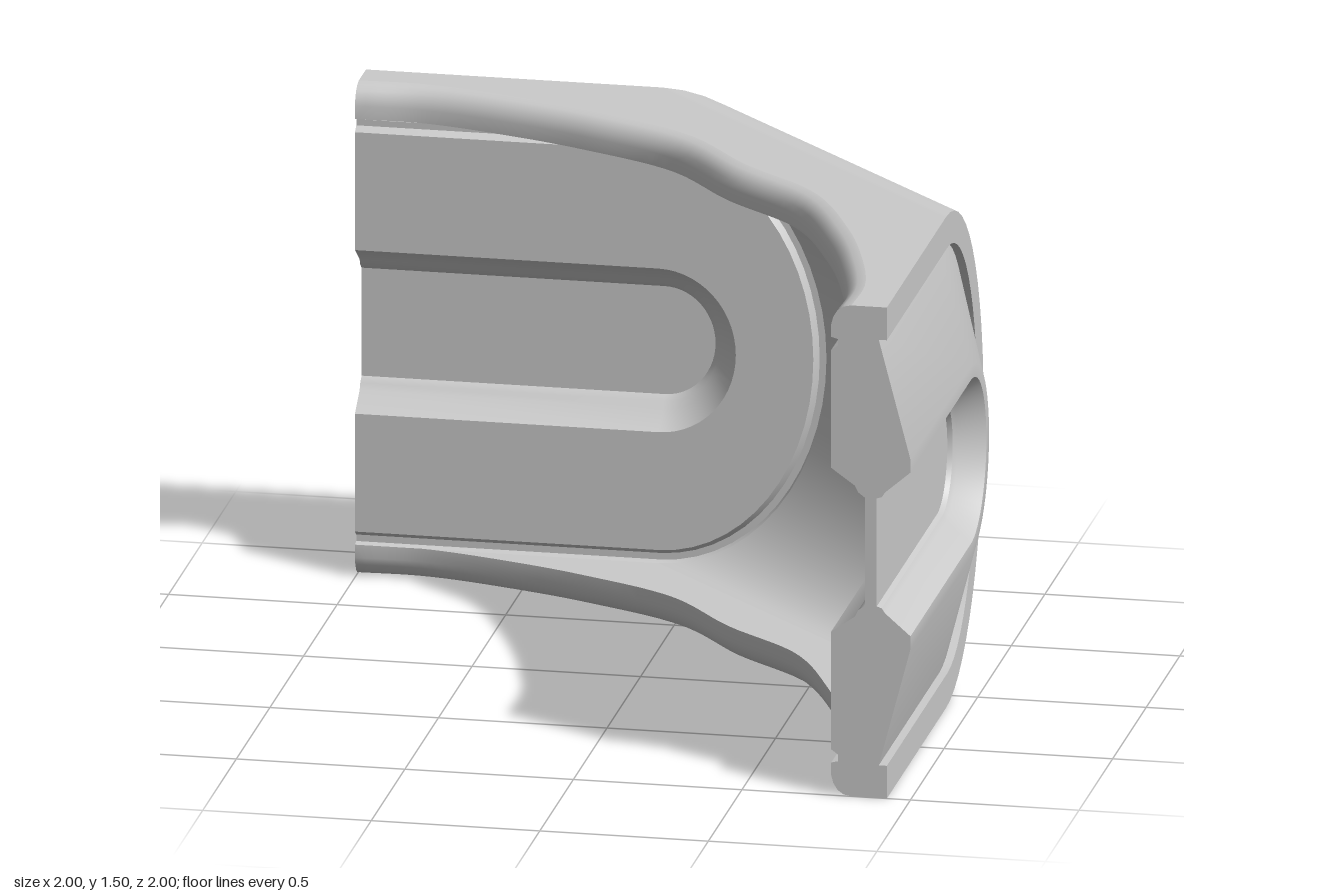
import * as THREE from 'three';
import { toCreasedNormals, mergeGeometries } from 'three/addons/utils/BufferGeometryUtils.js';

const MID = 0.75;      // half of the height
const BEND = -0.1;     // where the stadium outlines start to curve
const BACK = -0.93, FRONT = -0.765;
const ARC = 28;

const mirror = ([x, y, z]) => [-z, y, -x]; // swaps the two arms
const keep = (p) => p;

function fromTriangles(pos) {
  const g = new THREE.BufferGeometry();
  g.setAttribute('position', new THREE.Float32BufferAttribute(pos, 3));
  return toCreasedNormals(g, 0.5);
}

// Skin between equal-length rows of points
function loft(rows, flip = false) {
  const pos = [];
  for (let i = 0; i + 1 < rows.length; i++) {
    for (let j = 0; j + 1 < rows[i].length; j++) {
      const a = rows[i][j], b = rows[i][j + 1], c = rows[i + 1][j + 1], d = rows[i + 1][j];
      pos.push(...(flip ? [a, c, b, a, d, c] : [a, b, c, a, c, d]).flat());
    }
  }
  return fromTriangles(pos);
}

// Flat polygon: outline in 2D, placed in space by a function, facing a given way
function flat(outline, place, facing) {
  const pts = outline.map(([a, b]) => new THREE.Vector2(a, b));
  const want = new THREE.Vector3(...facing), tri = new THREE.Triangle(), n = new THREE.Vector3();
  const pos = [];
  for (const f of THREE.ShapeUtils.triangulateShape(pts, [])) {
    const [p, q, r] = f.map((k) => place(...outline[k]));
    tri.set(new THREE.Vector3(...p), new THREE.Vector3(...q), new THREE.Vector3(...r));
    tri.getNormal(n);
    pos.push(...(n.dot(want) > 0 ? [p, q, r] : [p, r, q]).flat());
  }
  return fromTriangles(pos);
}

// Rounded end of a stadium outline, half height h, tip at x = tip
function arc(h, tip, z, start = BEND) {
  return Array.from({ length: ARC + 1 }, (_, i) => {
    const a = Math.PI / 2 - (Math.PI * i) / ARC;
    return [start + (tip - start) * Math.cos(a), MID + h * Math.sin(a), z];
  });
}
const ring = (h, tip, z, start) => [[-1, MID + h, z], ...arc(h, tip, z, start), [-1, MID - h, z]];

// Panel steps from rim to centre: [half height, tip x, z]
const outerSteps = [
  [0.75, 0.44, BACK, -0.12], [0.65, 0.35, BACK], [0.65, 0.35, -0.906], [0.29, 0.17, -1],
  [0.25, 0.13, -1], [0.185, 0.07, -0.925], [0.17, 0.055, -0.915], [0.165, 0.05, -0.9],
];
const innerSteps = [
  [0.65, 0.4, FRONT], [0.645, 0.395, -0.785], [0.625, 0.375, -0.785], [0.61, 0.36, FRONT],
  [0.25, 0.13, FRONT], [0.2, 0.08, -0.835], [0.18, 0.065, -0.845], [0.165, 0.05, -0.865],
];
// Rounded lip of the flange: [offset from the edge, height above middle]
const lip = [[0, 0.65], [0, 0.69], [0.006, 0.712], [0.018, 0.732], [0.036, 0.745], [0.06, 0.75]];

// Plan curve of the flange's inner edge
const half = [[-1, 0, FRONT], [-0.8, 0, FRONT], [-0.505, 0, -0.69], [-0.29, 0, -0.61], [0, 0, -0.46]];
const edgeCurve = new THREE.CatmullRomCurve3(
  [...half, [0.217, 0, -0.217], ...half.map(mirror).reverse()].map((p) => new THREE.Vector3(...p)));
const edge = Array.from({ length: 65 }, (_, i) => {
  const p = edgeCurve.getPoint(i / 64), t = edgeCurve.getTangent(i / 64);
  if (i === 0) t.set(1, 0, 0);
  if (i === 64) t.set(0, 0, 1);
  return (off) => [p.x + t.z * off, p.z - t.x * off];
});

export function createModel() {
  const model = new THREE.Group();
  const material = new THREE.MeshStandardMaterial({ color: 0xcccccc, side: THREE.DoubleSide });
  const add = (name, ...geos) => {
    const mesh = new THREE.Mesh(geos.length > 1 ? mergeGeometries(geos) : geos[0], material);
    mesh.name = name;
    model.add(mesh);
  };

  // Two arms: stepped panels on both faces, and the cut end
  for (const [side, map, flip] of [['back', keep, false], ['left', mirror, true]]) {
    const panel = (steps) => {
      const rows = steps.map((s) => ring(...s));
      rows.push(ring(0, BEND, steps.at(-1)[2]));
      return rows.map((r) => r.map(map));
    };
    add(side + 'OuterPanel', loft(panel(outerSteps), flip));
    add(side + 'InnerPanel', loft(panel(innerSteps), !flip));

    const outside = outerSteps.map(([h, , z]) => [z, h]);
    const inside = [...lip.map(([o, h]) => [FRONT - o, h]).reverse(),
      ...innerSteps.slice(1).map(([h, , z]) => [z, h])];
    const low = (list) => list.map(([z, h]) => [z, -h]);
    const section = [...outside, ...low(outside).reverse(), ...low(inside), ...[...inside].reverse()];
    add(side + 'EndFace', flat(section, (z, h) => map([-1, MID + h, z]), map([-1, 0, 0]).map((v, i) => i === 1 ? 0 : v)));
  }

  // Corner: bowed skins spanning from arm to arm
  const outerArc = arc(0.75, 0.44, BACK, -0.12), innerArc = arc(0.65, 0.4, FRONT);
  add('cornerOuterSkin', loft([outerArc, outerArc.map(mirror)], true));
  add('cornerInnerSkin', loft([innerArc, innerArc.map(mirror)]));

  // Top and bottom flanges: rounded lip, flat face and the ledge behind the lip
  const border = (x, z) => [[1 - 2 * 1, z], [x, z], [-z, -x], [-z, 1]].reverse();
  for (const [name, s] of [['topFlange', 1], ['bottomFlange', -1]]) {
    const at = (h) => (x, z) => [x, MID + s * h, z];
    const lipRows = edge.map((e) => lip.map(([o, h]) => at(h)(...e(o))));
    const face = [...edge.map((e) => e(0.06)), ...border(-0.12, BACK)];
    const ledge = [...edge.slice(4, -4).map((e) => e(0)), ...border(BEND, FRONT).slice(1, 3)];
    add(name,
      loft(lipRows, s > 0),
      flat(face, at(0.75), [0, s, 0]),
      flat(ledge, at(0.65), [0, -s, 0]));
  }
  return model;
}
